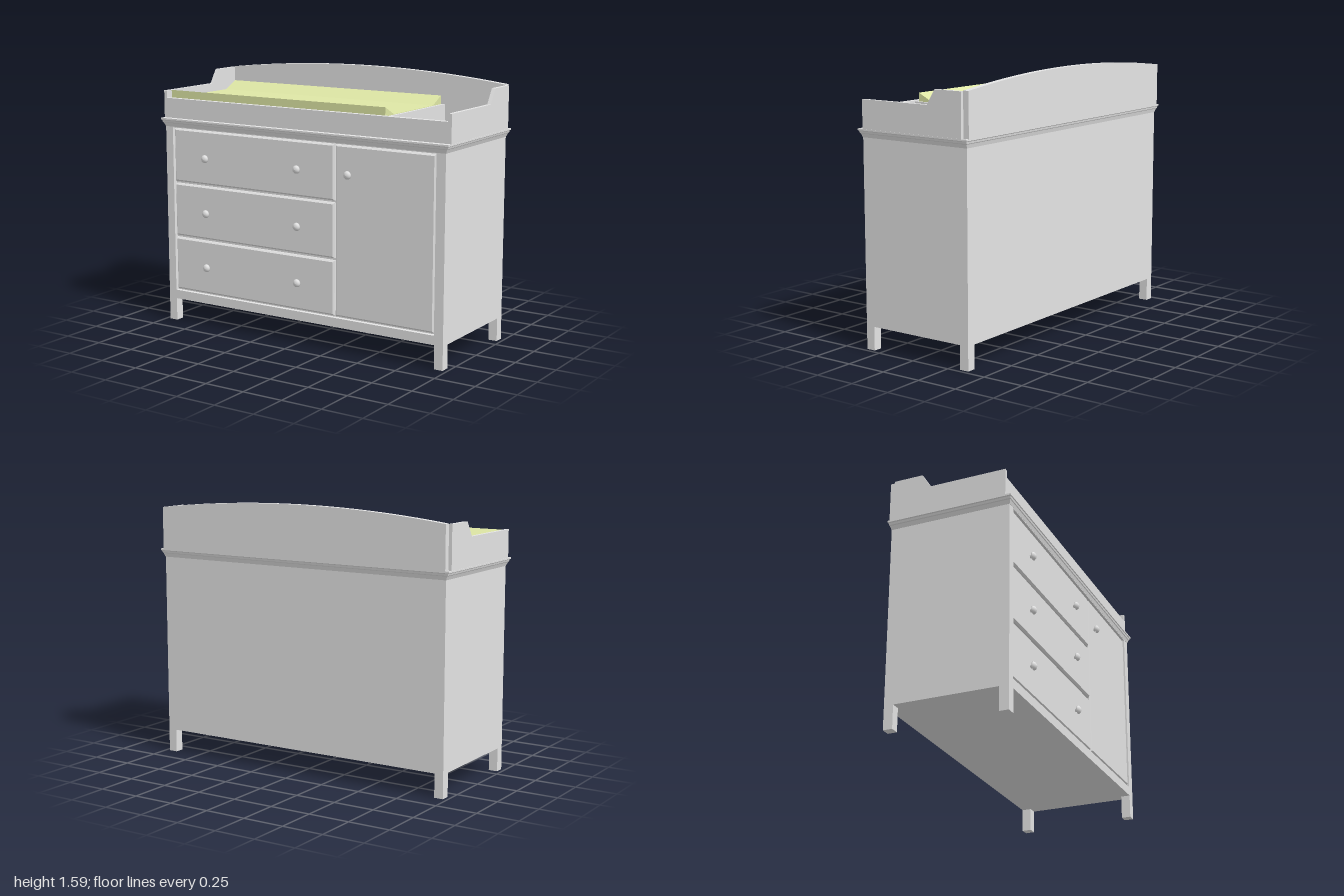
import * as THREE from 'three';

export function createModel() {
  const group = new THREE.Group();
  const paint = new THREE.MeshStandardMaterial({ color: 0xe4e4e4 });
  paint.name = 'paintedWood';
  const fabric = new THREE.MeshStandardMaterial({ color: 0xe4edaa });
  fabric.name = 'padFabric';

  const add = (name, geometry, material = paint) => {
    const mesh = new THREE.Mesh(geometry, material);
    mesh.name = name;
    group.add(mesh);
    return mesh;
  };
  // Box given by its extents on each axis
  const box = (name, x0, x1, y0, y1, z0, z1) => {
    const mesh = add(name, new THREE.BoxGeometry(x1 - x0, y1 - y0, z1 - z0));
    mesh.position.set((x0 + x1) / 2, (y0 + y1) / 2, (z0 + z1) / 2);
    return mesh;
  };
  const outline = (pts) => new THREE.Shape(pts.map(([x, y]) => new THREE.Vector2(x, y)));
  const rect = (x0, x1, y0, y1) => outline([[x0, y0], [x1, y0], [x1, y1], [x0, y1]]);
  const extrude = (shape, depth) => new THREE.ExtrudeGeometry(shape, { depth, bevelEnabled: false });
  // Profile drawn in (z, y), extruded along x from x0 to x1
  const extrudeX = (pts, x0, x1) => {
    const geometry = extrude(outline(pts.map(([z, y]) => [-z, y])), x1 - x0);
    return geometry.rotateY(Math.PI / 2).translate(x0, 0, 0);
  };

  // Cabinet: carcass, front frame and legs
  box('carcass', -0.975, 0.975, 0.14, 1.235, -0.373, 0.335);
  const frame = rect(-0.975, 0.975, 0.14, 1.235);
  frame.holes.push(rect(-0.922, 0.917, 0.195, 1.224));
  add('frontFrame', extrude(frame, 0.026).translate(0, 0, 0.335));
  for (const s of [-1, 1]) {
    for (const [z0, z1] of [[0.305, 0.361], [-0.373, -0.317]]) {
      box('leg', Math.min(s * 0.92, s * 0.975), Math.max(s * 0.92, s * 0.975), 0, 0.145, z0, z1);
    }
  }

  // Bevelled drawer fronts and door
  const panel = (name, x0, x1, y0, y1) => {
    const b = 0.01;
    const geometry = new THREE.ExtrudeGeometry(rect(x0 + b, x1 - b, y0 + b, y1 - b), {
      depth: 0.012, bevelEnabled: true, bevelThickness: b, bevelSize: b, bevelSegments: 1,
    });
    add(name, geometry.translate(0, 0, 0.334));
  };
  for (const [y0, y1] of [[0.205, 0.535], [0.548, 0.877], [0.889, 1.218]]) {
    panel('drawerFront', -0.917, 0.25, y0, y1);
  }
  panel('door', 0.257, 0.911, 0.205, 1.218);

  // Round knobs
  const knobProfile = [[0.011, 0], [0.011, 0.016], [0.025, 0.018], [0.024, 0.024],
    [0.019, 0.032], [0.011, 0.037], [0, 0.039]].map(([r, y]) => new THREE.Vector2(r, y));
  const knobGeometry = new THREE.LatheGeometry(knobProfile, 20).rotateX(Math.PI / 2);
  const knobs = [[0.35, 1.05]];
  for (const y of [0.37, 0.71, 1.05]) knobs.push([-0.67, y], [0, y]);
  for (const [x, y] of knobs) add('knob', knobGeometry).position.set(x, y, 0.352);

  // Top moulding: rectangles growing outward, as [height, spread]
  const levels = [[1.228, 0], [1.242, 0.25], [1.25, 0.4], [1.254, 0.6], [1.265, 0.75], [1.269, 1], [1.279, 1]];
  const ring = ([y, t]) => {
    const x = 0.976 + 0.024 * t, f = 0.362 + 0.017 * t, b = -0.374 - 0.015 * t;
    return [[-x, y, f], [x, y, f], [x, y, b], [-x, y, b]];
  };
  const pos = [];
  const quad = (a, b, c, d) => pos.push(...a, ...b, ...c, ...a, ...c, ...d);
  for (let i = 0; i < levels.length - 1; i++) {
    const lo = ring(levels[i]), hi = ring(levels[i + 1]);
    for (let k = 0; k < 4; k++) {
      const n = (k + 1) % 4;
      quad(lo[k], lo[n], hi[n], hi[k]);
    }
  }
  quad(...ring(levels[levels.length - 1]));
  quad(...ring(levels[0]).reverse());
  const moulding = new THREE.BufferGeometry();
  moulding.setAttribute('position', new THREE.Float32BufferAttribute(pos, 3));
  moulding.computeVertexNormals();
  add('topMoulding', moulding);

  // Changing tray: stepped sides, front rail, divider and arched back
  const sideProfile = [[0.344, 1.278], [-0.353, 1.278], [-0.353, 1.532], [-0.175, 1.532], [-0.12, 1.445], [0.344, 1.445]];
  add('traySideRight', extrudeX(sideProfile, -0.998, -0.976));
  add('traySideLeft', extrudeX(sideProfile, 0.976, 0.998));
  box('trayFrontRail', -0.976, 0.976, 1.278, 1.4, 0.312, 0.344);
  box('trayDivider', 0.564, 0.581, 1.278, 1.395, -0.355, 0.312);
  const arch = [[-0.978, 1.278], [0.978, 1.278]];
  for (let i = 0; i <= 20; i++) {
    const x = 0.978 * (1 - i / 10);
    arch.push([x, 1.594 - 0.062 * x * x]);
  }
  add('trayBack', extrude(outline(arch), 0.036).translate(0, 0, -0.389));

  // Contoured pad with raised long edges
  add('changingPad', extrudeX([[0.302, 1.282], [-0.346, 1.282], [-0.346, 1.445],
    [-0.25, 1.395], [0.205, 1.395], [0.302, 1.445]], -0.973, 0.556), fabric);

  return group;
}
